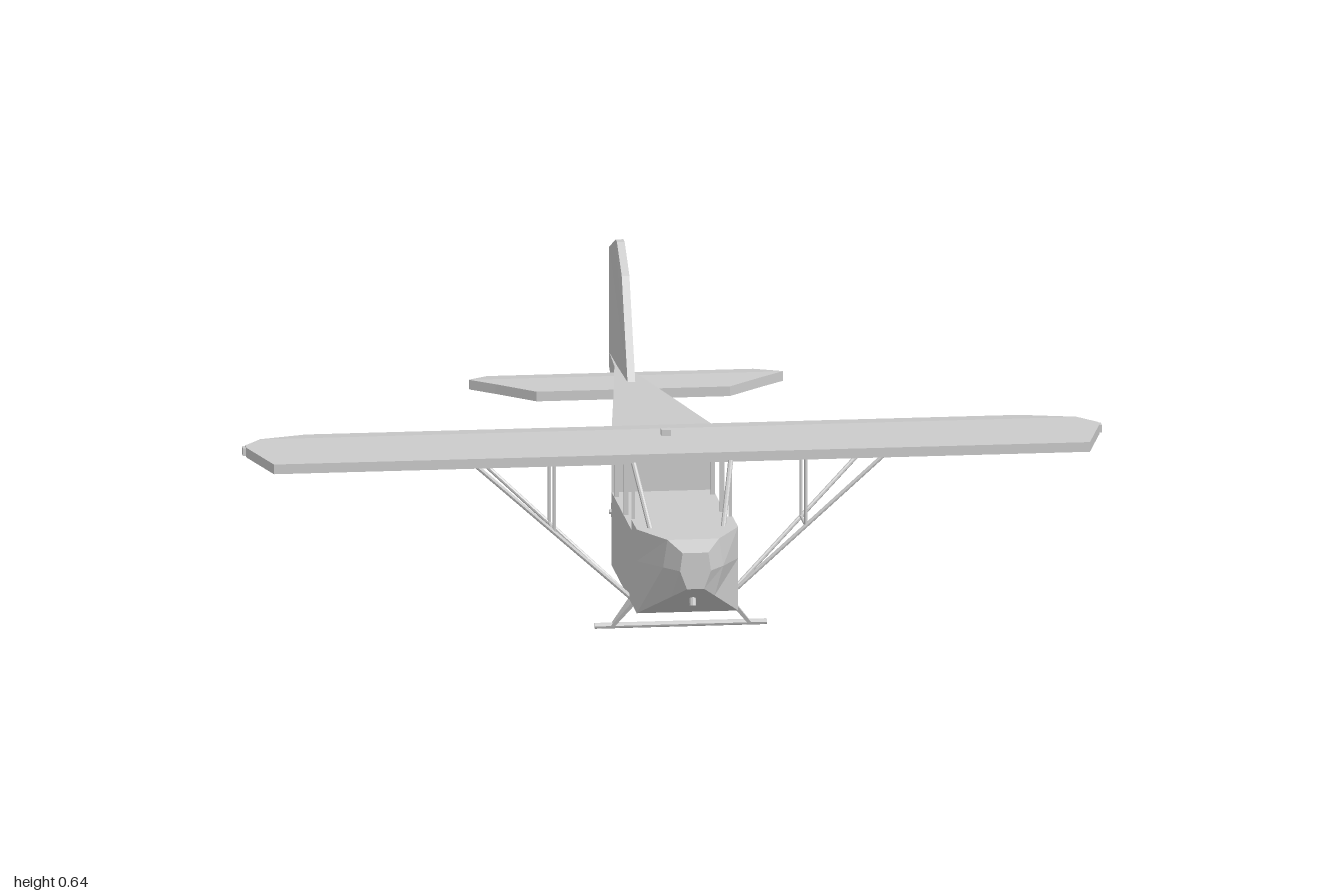
import * as THREE from 'three';

const grey = new THREE.MeshStandardMaterial({ color: 0xcccccc, flatShading: true });

// Skin a list of equal-length point loops and cap both ends; faces are turned outward.
function loft(sections) {
  const n = sections[0].length;
  const pts = sections.flat();
  const tris = [];
  for (let s = 0; s < sections.length - 1; s++) {
    for (let i = 0; i < n; i++) {
      const a = s * n + i, b = s * n + (i + 1) % n;
      tris.push([a, b, b + n], [a, b + n, a + n]);
    }
  }
  const last = (sections.length - 1) * n;
  for (let i = 1; i < n - 1; i++) {
    tris.push([0, i + 1, i], [last, last + i, last + i + 1]);
  }
  let volume = 0;
  const v = pts.map(p => new THREE.Vector3(...p));
  for (const [a, b, c] of tris) volume += v[a].dot(v[b].clone().cross(v[c]));
  const ordered = volume < 0 ? tris.map(([a, b, c]) => [a, c, b]) : tris;
  const geo = new THREE.BufferGeometry();
  geo.setAttribute('position', new THREE.Float32BufferAttribute(ordered.flat().flatMap(i => pts[i]), 3));
  geo.computeVertexNormals();
  return geo;
}

export function createModel() {
  const model = new THREE.Group();

  const add = (name, geo, x = 0, y = 0, z = 0) => {
    const mesh = new THREE.Mesh(geo, grey);
    mesh.name = name;
    mesh.position.set(x, y, z);
    model.add(mesh);
    return mesh;
  };
  const box = (name, w, h, d, x, y, z) => add(name, new THREE.BoxGeometry(w, h, d), x, y, z);

  // Round bar between two points
  const rod = (name, from, to, r = 0.005) => {
    const a = new THREE.Vector3(...from), b = new THREE.Vector3(...to);
    const dir = b.clone().sub(a);
    const mesh = add(name, new THREE.CylinderGeometry(r, r, dir.length(), 8));
    mesh.position.copy(a).add(b).multiplyScalar(0.5);
    mesh.quaternion.setFromUnitVectors(new THREE.Vector3(0, 1, 0), dir.normalize());
    return mesh;
  };

  // Six-sided fuselage section: half widths and heights at top, middle and bottom
  const ring = (z, [wt, yt], [wm, ym], [wb, yb]) => [
    [wt, yt, z], [-wt, yt, z], [-wm, ym, z], [-wb, yb, z], [wb, yb, z], [wm, ym, z],
  ];
  const slab = (z, w, top, bottom) => ring(z, [w, top], [w, (top + bottom) / 2], [w, bottom]);

  // Nose, cabin tub and tapering tail
  add('nose', loft([
    ring(0.828, [0.03, 0.243], [0.036, 0.2], [0.02, 0.157]),
    ring(0.783, [0.06, 0.265], [0.07, 0.2], [0.05, 0.13]),
    ring(0.67, [0.118, 0.265], [0.118, 0.19], [0.118, 0.066]),
    ring(0.565, [0.118, 0.265], [0.118, 0.19], [0.118, 0.066]),
  ]));
  add('cabinTub', loft([slab(0.565, 0.118, 0.24, 0.066), slab(0.186, 0.118, 0.24, 0.066)]));
  add('rearFuselage', loft([
    slab(0.186, 0.118, 0.394, 0.066),
    slab(-0.416, 0.04, 0.358, 0.194),
    slab(-0.646, 0.012, 0.343, 0.243),
    slab(-0.815, 0.003, 0.335, 0.298),
  ]));
  rod('exhaust', [0, 0.13, 0.765], [0, 0.105, 0.775], 0.008);

  // Wing-like panel: each station is [x, front z, ridge z, rear z]; the top slopes down behind the ridge
  const panel = (name, stations, bottom, thick, ridge, rear) => {
    const top = z => bottom + 0.002 + (thick - 0.002) * Math.min(1, Math.max(0, (z - rear) / (ridge - rear)));
    const section = ([x, zf, zm, zr]) => [
      [x, bottom, zf], [x, top(zf), zf], [x, top(zm), zm], [x, top(zr), zr], [x, bottom, zr],
    ];
    const mirrored = stations.map(([x, ...z]) => [-x, ...z]).reverse();
    add(name, loft([...mirrored, ...stations].map(section)));
  };
  panel('wing', [
    [0.83, 0.565, 0.31, 0.184],
    [0.95, 0.565, 0.31, 0.3],
    [0.993, 0.39, 0.38, 0.365],
  ], 0.395, 0.023, 0.31, 0.184);
  panel('tailplane', [
    [0.225, -0.378, -0.515, -0.637],
    [0.31, -0.464, -0.515, -0.637],
    [0.365, -0.516, -0.52, -0.524],
  ], 0.327, 0.023, -0.515, -0.637);

  // Fin with rudder
  const outline = [[-0.41, 0.35], [-0.527, 0.584], [-0.62, 0.643], [-0.646, 0.643],
    [-0.822, 0.584], [-0.822, 0.3], [-0.646, 0.25]];
  const half = z => (z < -0.7 ? 0.003 : 0.009);
  add('fin', loft([-1, 1].map(s => outline.map(([z, y]) => [s * half(z), y, z]))));

  box('roofAerial', 0.022, 0.016, 0.022, -0.015, 0.424, 0.375);

  for (const s of [-1, 1]) {
    // Cabin frame
    rod('windscreenPost', [s * 0.085, 0.262, 0.658], [s * 0.113, 0.398, 0.568], 0.006);
    for (const z of [0.23, 0.41]) box('cabinPost', 0.01, 0.16, 0.01, s * 0.112, 0.318, z);
    box('frontCabinPost', 0.008, 0.16, 0.008, s * 0.113, 0.318, 0.56);

    // Wing struts braced by short uprights
    rod('frontWingStrut', [s * 0.115, 0.07, 0.528], [s * 0.483, 0.4, 0.528]);
    rod('rearWingStrut', [s * 0.115, 0.07, 0.52], [s * 0.483, 0.4, 0.34]);
    rod('frontUpright', [s * 0.293, 0.228, 0.528], [s * 0.293, 0.4, 0.528], 0.004);
    rod('rearUpright', [s * 0.293, 0.228, 0.433], [s * 0.293, 0.4, 0.433], 0.004);
    rod('uprightLink', [s * 0.293, 0.23, 0.528], [s * 0.293, 0.23, 0.433], 0.004);

    box('wingTipLight', 0.018, 0.018, 0.024, s * 0.991, 0.406, 0.372);

    // Main gear leg: a flat plate narrowing to the axle
    const plate = (x, y, w, z0, z1) => [
      [s * (x - w), y, z0], [s * (x + w), y, z0], [s * (x + w), y, z1], [s * (x - w), y, z1],
    ];
    add('gearLeg', loft([plate(0.109, 0.07, 0.006, 0.57, 0.512), plate(0.16, 0.006, 0.005, 0.547, 0.533)]));

    // Tail gear arm and wheel block
    rod('tailGearArm', [s * 0.03, 0.165, -0.262], [s * 0.03, 0.046, -0.447], 0.006);
    box('tailWheel', 0.014, 0.034, 0.034, s * 0.034, 0.044, -0.448);
  }

  rod('mainAxle', [-0.2, 0.008, 0.54], [0.2, 0.008, 0.54], 0.007);
  rod('tailAxle', [-0.048, 0.044, -0.448], [0.048, 0.044, -0.448], 0.006);

  return model;
}
